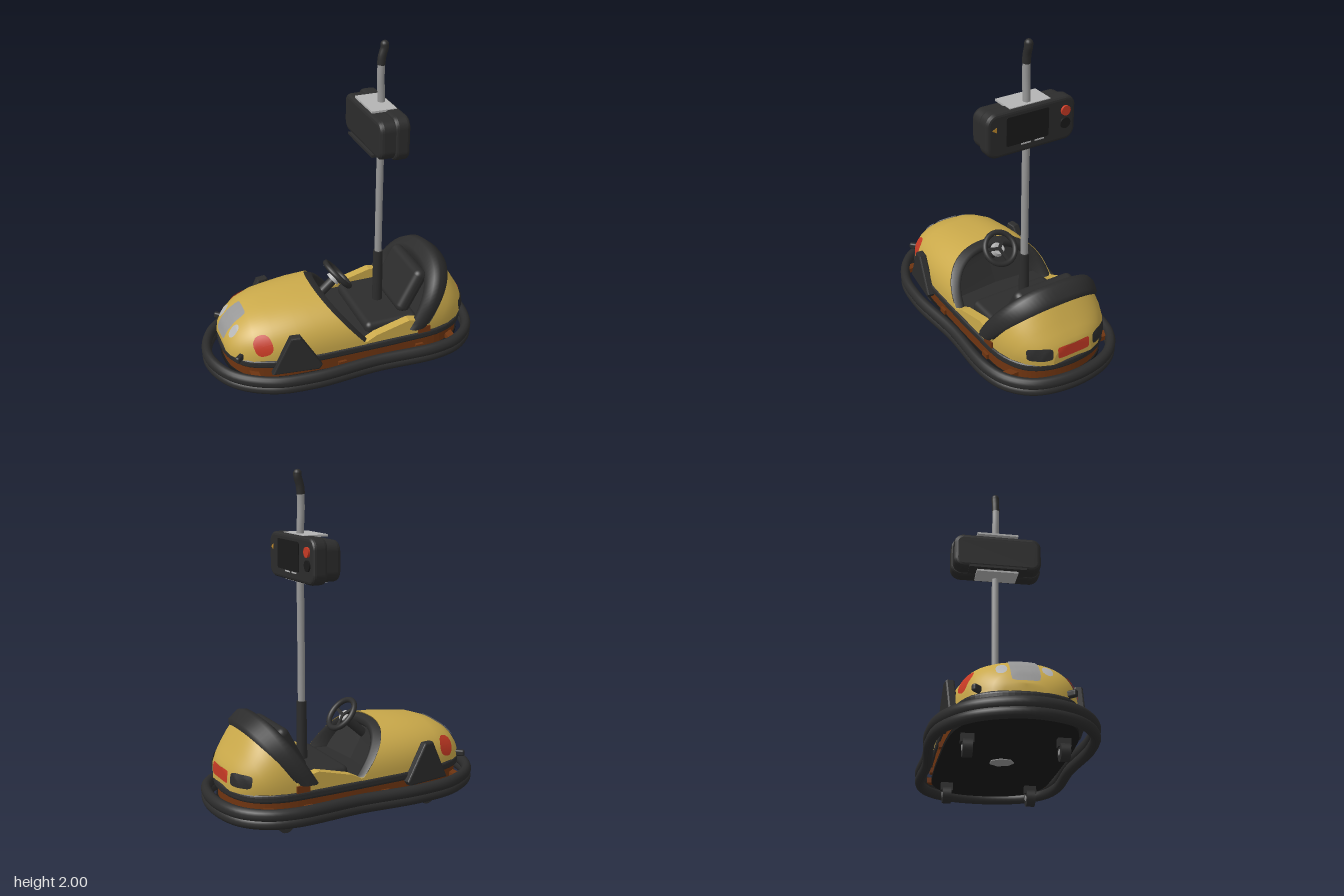
import * as THREE from 'three';
import { RoundedBoxGeometry } from 'three/addons/geometries/RoundedBoxGeometry.js';

const mat = (name, color, side = THREE.DoubleSide) => {
  const m = new THREE.MeshStandardMaterial({ color, side });
  m.name = name;
  return m;
};
const V = (x, y, z) => new THREE.Vector3(x, y, z);

export function createModel() {
  const yellow = mat('yellow paint', 0xcaa94a);
  const black = mat('black rubber', 0x2c2c2c);
  const dark = mat('dark floor', 0x1a1a1a);
  const brown = mat('brown chassis', 0x6e3410);
  const red = mat('red lens', 0xc63a24);
  const steel = mat('steel', 0x979797);
  const silver = mat('light silver', 0xb4b4b4);
  const amber = mat('amber', 0xc08a2c);

  const car = new THREE.Group();
  car.name = 'bumperCar';
  const add = (name, geo, material, x = 0, y = 0, z = 0, parent = car) => {
    const m = new THREE.Mesh(geo, material);
    m.name = name;
    m.position.set(x, y, z);
    parent.add(m);
    return m;
  };
  const box = (w, h, d) => new THREE.BoxGeometry(w, h, d);
  const rbox = (w, h, d, r) => new RoundedBoxGeometry(w, h, d, 4, r);
  const tube = (pts, r, closed = false, n = 24) => new THREE.TubeGeometry(
    new THREE.CatmullRomCurve3(pts, closed), n, r, 14, closed);

  // Arched shell: each section is [x at base, half width, top height, lean in x]
  const loft = (sections, base, n = 2.4, seg = 40) => {
    const pos = [], idx = [], p = 2 / n;
    for (const [x, w, h, lean] of sections) {
      for (let j = 0; j <= seg; j++) {
        const a = Math.PI * j / seg, c = Math.cos(a);
        const f = Math.pow(Math.max(0, Math.sin(a)), p);
        pos.push(x + lean * f, base + (h - base) * f, w * Math.sign(c) * Math.pow(Math.abs(c), p));
      }
    }
    for (let i = 0; i < sections.length - 1; i++) {
      for (let j = 0; j < seg; j++) {
        const a = i * (seg + 1) + j, b = a + seg + 1;
        idx.push(a, b, b + 1, a, b + 1, a + 1);
      }
    }
    const g = new THREE.BufferGeometry();
    g.setAttribute('position', new THREE.Float32BufferAttribute(pos, 3));
    g.setIndex(idx);
    g.computeVertexNormals();
    return g;
  };

  // Thin rounded plate projected along dir onto a shell; u and v are its half axes
  const patch = (name, target, material, centre, u, v, dir, n = 2) => {
    const ray = new THREE.Raycaster(), pos = [], idx = [], R = 6, S = 32;
    dir.normalize();
    let last = centre;
    for (let i = 0; i <= R; i++) {
      for (let j = 0; j <= S; j++) {
        const a = 2 * Math.PI * j / S, c = Math.cos(a), s = Math.sin(a);
        const k = i / R * Math.pow(Math.abs(c) ** n + Math.abs(s) ** n, -1 / n);
        const o = centre.clone().addScaledVector(u, k * c).addScaledVector(v, k * s).addScaledVector(dir, -0.5);
        ray.set(o, dir);
        const hit = ray.intersectObject(target)[0];
        if (hit) {
          const nn = hit.face.normal.clone();
          if (nn.dot(dir) > 0) nn.negate();
          last = hit.point.clone().addScaledVector(nn, 0.007);
        }
        pos.push(last.x, last.y, last.z);
        if (i < R && j < S) {
          const q = i * (S + 1) + j, t = q + S + 1;
          idx.push(q, t, t + 1, q, t + 1, q + 1);
        }
      }
    }
    const g = new THREE.BufferGeometry();
    g.setAttribute('position', new THREE.Float32BufferAttribute(pos, 3));
    g.setIndex(idx);
    g.computeVertexNormals();
    add(name, g, material);
  };

  // Rubber bumper ring: half outline mirrored in z
  const ringOf = (half, y) => [...half, ...half.slice(1, -1).reverse().map(([x, z]) => [x, -z])]
    .map(([x, z]) => V(x, y, z));
  const bumperHalf = [[0.825, 0], [0.775, 0.24], [0.66, 0.36], [0.5, 0.41], [0.1, 0.402],
    [-0.3, 0.425], [-0.55, 0.385], [-0.75, 0.24], [-0.83, 0]];
  for (const [y, r, k] of [[0.163, 0.03, 1.2], [0.116, 0.028, 1.15]]) {
    const g = tube(ringOf(bumperHalf, 0), r, true, 120);
    g.scale(1, k, 1);
    add('bumperRing', g, black, 0, y);
  }

  // Chassis slabs cut from the body footprint
  const footHalf = [[0.785, 0], [0.76, 0.16], [0.69, 0.27], [0.55, 0.34], [0.3, 0.355], [0, 0.355],
    [-0.3, 0.348], [-0.5, 0.325], [-0.66, 0.255], [-0.735, 0.14], [-0.755, 0]];
  const slab = (k, depth, bevel) => {
    const pts = new THREE.CatmullRomCurve3(ringOf(footHalf, 0), true).getPoints(96);
    const s = new THREE.Shape(pts.slice(0, -1).map(p => new THREE.Vector2(p.x * k, p.z * k)));
    const g = new THREE.ExtrudeGeometry(s, { depth: depth - 2 * bevel, bevelEnabled: bevel > 0,
      bevelSize: bevel, bevelThickness: bevel, bevelOffset: -bevel, bevelSegments: 3 });
    g.rotateX(-Math.PI / 2).translate(0, bevel, 0);
    return g;
  };
  add('baseTrim', slab(1, 0.05, 0.015), black, 0, 0.205);
  add('chassis', slab(0.97, 0.07, 0), brown, 0, 0.14);
  add('floorPlate', slab(0.98, 0.02, 0), dark, 0, 0.12);
  add('floorPatch', new THREE.CylinderGeometry(0.07, 0.07, 0.006, 7), steel, 0.02, 0.118, 0);
  for (const x of [-0.62, -0.1, 0.4, 0.62]) add('bumperBracket', box(0.05, 0.03, 0.72), brown, x, 0.16);

  // Yellow hood and tail
  const hood = add('hood', loft([[-0.745, 0, 0.29, 0], [-0.745, 0.11, 0.3, 0], [-0.73, 0.165, 0.36, 0.01],
    [-0.69, 0.225, 0.415, 0.02], [-0.62, 0.275, 0.46, 0.02], [-0.5, 0.315, 0.494, 0],
    [-0.35, 0.335, 0.512, -0.01], [-0.2, 0.344, 0.522, -0.08], [0.06, 0.347, 0.527, -0.24]], 0.25), yellow);
  const tail = add('tail', loft([[0.43, 0.345, 0.57, 0.23], [0.52, 0.335, 0.535, 0.16], [0.61, 0.31, 0.48, 0.1],
    [0.69, 0.262, 0.43, 0.05], [0.745, 0.2, 0.39, 0.02], [0.775, 0.13, 0.36, 0],
    [0.775, 0.13, 0.36, 0], [0.775, 0, 0.36, 0]], 0.25), yellow);

  // Cockpit: dashboard hollow, seat shell, seat
  add('dashboard', loft([[0.06, 0.343, 0.522, -0.24], [0.085, 0.315, 0.515, -0.22], [0.07, 0.29, 0.49, -0.19],
    [-0.03, 0.27, 0.46, -0.12], [-0.03, 0.27, 0.46, -0.12], [-0.05, 0, 0.46, -0.12]], 0.25), black);
  add('cockpitFloor', box(0.55, 0.02, 0.62), black, 0.18, 0.258);
  add('seatShell', loft([[0.41, 0, 0.52, 0.12], [0.41, 0.27, 0.52, 0.12], [0.41, 0.27, 0.52, 0.12],
    [0.345, 0.31, 0.575, 0.17], [0.335, 0.35, 0.605, 0.19], [0.36, 0.37, 0.645, 0.21],
    [0.41, 0.367, 0.648, 0.2], [0.44, 0.352, 0.6, 0.23], [0.45, 0.33, 0.56, 0.22]], 0.29), black);
  add('seatCushion', rbox(0.34, 0.08, 0.52, 0.035), black, 0.26, 0.285);
  add('seatBack', rbox(0.09, 0.3, 0.4, 0.04), black, 0.42, 0.44).rotation.z = -0.5;

  // Parts mirrored on both sides
  const sill = new THREE.Shape([[0, 0.25], [0.46, 0.25], [0.46, 0.33], [0.33, 0.355], [0.12, 0.3], [0.06, 0.268],
    [0, 0.27]].map(p => new THREE.Vector2(...p)));
  const pod = new THREE.Shape([[-0.14, 0.19], [-0.035, 0.405], [0.01, 0.405], [0.13, 0.205], [0.12, 0.19]]
    .map(p => new THREE.Vector2(...p)));
  for (const s of [1, -1]) {
    add('sideSill', new THREE.ExtrudeGeometry(sill, { depth: 0.055, bevelEnabled: false }), yellow,
      0, 0, s > 0 ? 0.29 : -0.345);
    const podMesh = add('sidePod', new THREE.ExtrudeGeometry(pod, { depth: 0.03, bevelSize: 0.012,
      bevelThickness: 0.01, bevelSegments: 3 }), black, -0.375, 0, s * 0.345 - 0.015);
    podMesh.rotation.y = -s * 0.12;
    add('sillBracket', box(0.08, 0.04, 0.01), brown, 0.43, 0.272, s * 0.349);
    add('noseGuard', rbox(0.08, 0.04, 0.03, 0.012), black, -0.69, 0.27, s * 0.232).rotation.y = s * 0.75;
    patch('headlight', hood, silver, V(-0.68, 0.37, s * 0.115), V(0.025, 0.035, 0), V(0, 0, 0.028), V(0.75, -0.66, 0));
    patch('turnSignal', hood, red, V(-0.56, 0.345, s * 0.3), V(0.05, 0.015, 0), V(-0.01, 0.053, 0), V(0, 0, -s), 2.6);
    patch('tailLamp', tail, black, V(0.76, 0.325, s * 0.197), V(0, 0, 0.064), V(0, 0.037, 0), V(-1, 0, 0), 5);
    for (const x of [-0.44, 0.5]) {
      add('wheel', new THREE.CylinderGeometry(0.048, 0.048, 0.05, 24).rotateX(Math.PI / 2), black, x, 0.048, s * 0.25);
      add('wheelHub', new THREE.CylinderGeometry(0.016, 0.016, 0.058, 12).rotateX(Math.PI / 2), steel, x, 0.048, s * 0.25);
      add('wheelFork', box(0.04, 0.06, 0.07), black, x, 0.105, s * 0.25);
    }
  }
  patch('noseStripe', hood, steel, V(-0.67, 0.38, 0), V(0.068, 0.078, 0), V(0, 0, 0.074), V(0.75, -0.66, 0), 10);
  patch('rearPlate', tail, red, V(0.775, 0.322, 0), V(0, 0, 0.105), V(0, 0.037, 0), V(-1, 0, 0), 10);

  // Steering wheel, tilted toward the seat
  const wheel = new THREE.Group();
  wheel.name = 'steeringWheel';
  wheel.position.set(0, 0.555, 0);
  wheel.quaternion.setFromUnitVectors(V(0, 0, 1), V(0.75, 0.66, 0).normalize());
  car.add(wheel);
  add('steeringRim', new THREE.TorusGeometry(0.1, 0.017, 12, 40), black, 0, 0, 0, wheel);
  for (let i = 0; i < 3; i++) {
    add('steeringSpoke', box(0.02, 0.1, 0.014).translate(0, 0.05, -0.015), black, 0, 0, 0, wheel)
      .rotation.z = i * Math.PI * 2 / 3;
  }
  add('steeringHub', new THREE.CylinderGeometry(0.035, 0.045, 0.03, 24).rotateX(Math.PI / 2), silver, 0, 0, -0.03, wheel);
  add('steeringColumn', tube([V(-0.02, 0.53, 0), V(-0.15, 0.415, 0)], 0.028), black);

  // Pole with sleeve and curved grip
  add('pole', tube([V(0.265, 0.3, 0), V(0.265, 1, 0), V(0.265, 1.64, 0), V(0.258, 1.78, 0), V(0.26, 1.87, 0)],
    0.022, false, 40), steel);
  add('poleSleeve', new THREE.CylinderGeometry(0.029, 0.032, 0.37, 20), black, 0.265, 0.485);
  add('poleGrip', tube([V(0.258, 1.86, 0), V(0.264, 1.91, 0), V(0.277, 1.955, 0), V(0.278, 1.975, 0)], 0.024), black);
  add('gripCap', new THREE.SphereGeometry(0.024, 16, 12), black, 0.278, 1.975);

  // Control box on the pole
  const roundRect = (w, h, r) => {
    const s = new THREE.Shape();
    [[1, 1, 0], [-1, 1, 1], [-1, -1, 2], [1, -1, 3]].forEach(([a, b, q]) =>
      s.absarc(a * (w / 2 - r), b * (h / 2 - r), r, q * Math.PI / 2, (q + 1) * Math.PI / 2, false));
    return s;
  };
  const plate = (w, h, r, depth, bevel) => new THREE.ExtrudeGeometry(roundRect(w, h, r), {
    depth: depth - 2 * bevel, bevelEnabled: bevel > 0, bevelSize: bevel, bevelThickness: bevel,
    bevelOffset: -bevel, bevelSegments: 3 }).translate(0, 0, bevel).rotateY(Math.PI / 2);
  add('controlBoxBack', plate(0.55, 0.23, 0.06, 0.12, 0.025), black, 0.148, 1.507);
  add('controlBoxFront', plate(0.568, 0.262, 0.065, 0.09, 0.02), black, 0.235, 1.508);
  add('controlPanel', plate(0.27, 0.17, 0.012, 0.006, 0), dark, 0.323, 1.52, 0.03);
  add('boxTopPlate', box(0.15, 0.012, 0.26), silver, 0.23, 1.637);
  add('boxBottomPlate', box(0.14, 0.012, 0.26), silver, 0.23, 1.379);
  add('boxLedge', box(0.15, 0.015, 0.36), black, 0.21, 1.395);
  const disc = (r, d, n) => new THREE.CylinderGeometry(r, r, d, n).rotateZ(Math.PI / 2);
  add('stopButton', disc(0.029, 0.02, 24), red, 0.328, 1.56, -0.213);
  add('keyKnob', disc(0.032, 0.016, 24), dark, 0.326, 1.485, -0.213);
  add('warningMark', disc(0.018, 0.006, 3), amber, 0.325, 1.55, 0.235);
  for (const z of [-0.045, 0.04]) add('boxClip', box(0.006, 0.008, 0.06), silver, 0.325, 1.428, z);
  return car;
}
